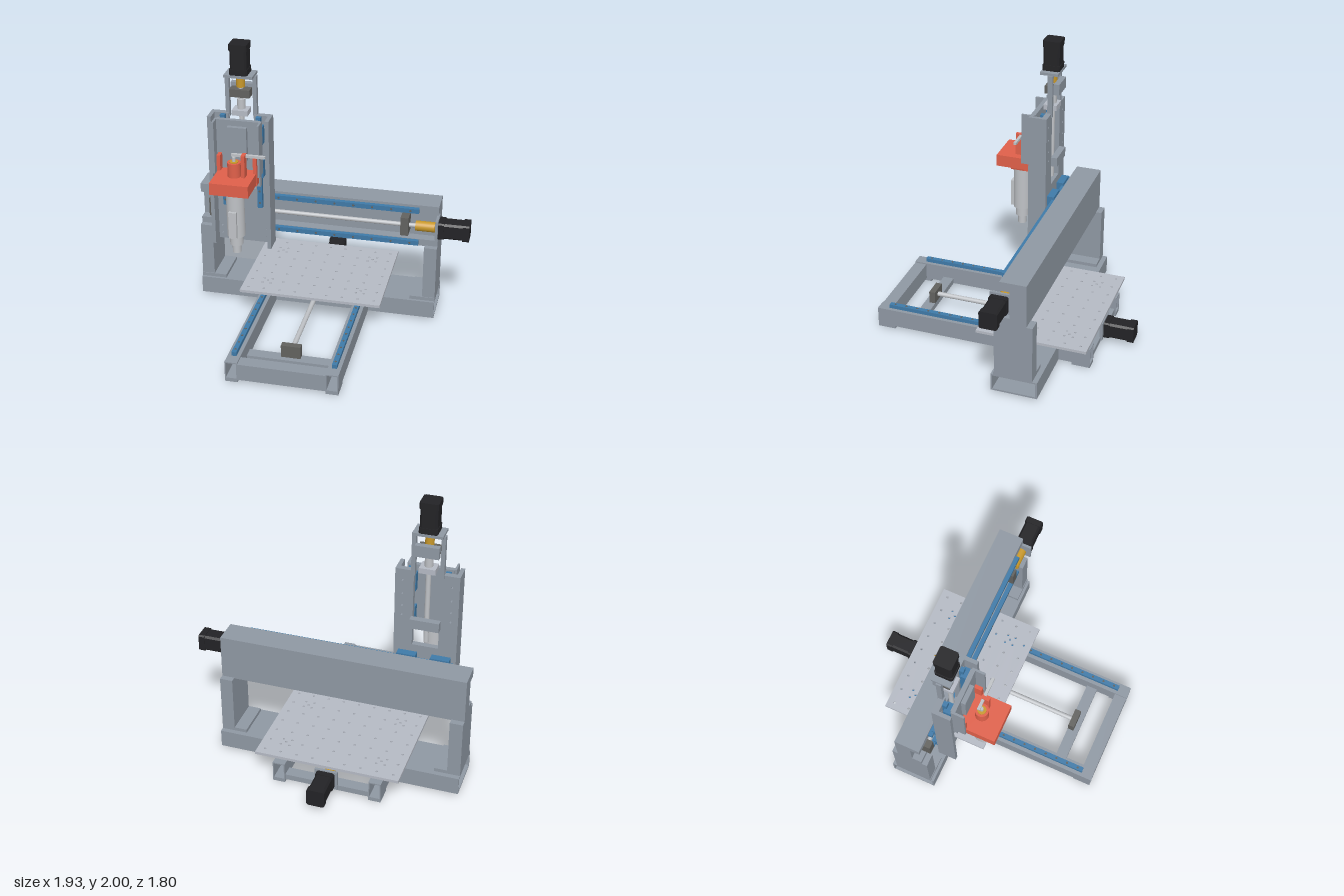
import * as THREE from 'three';

const mat = (color) => new THREE.MeshStandardMaterial({ color, side: THREE.DoubleSide });

export function createModel() {
  const root = new THREE.Group();
  const M = {
    steel: mat(0x8f98a3), plate: mat(0xb5bac4), blue: mat(0x3f7aa8), black: mat(0x232326),
    orange: mat(0xe0604a), brass: mat(0xc8982a), dark: mat(0x62625f), light: mat(0xbfc2c6),
  };
  const add = (name, geo, m) => {
    const mesh = new THREE.Mesh(geo, M[m]);
    mesh.name = name;
    root.add(mesh);
    return mesh;
  };
  // Box given by its limits on each axis
  const box = (name, m, x0, x1, y0, y1, z0, z1) => {
    const b = add(name, new THREE.BoxGeometry(x1 - x0, y1 - y0, Math.abs(z1 - z0)), m);
    b.position.set((x0 + x1) / 2, (y0 + y1) / 2, (z0 + z1) / 2);
    return b;
  };
  // Cylinder along an axis, centred on p
  const rod = (name, m, axis, r, len, p, seg = 24) => {
    const c = add(name, new THREE.CylinderGeometry(r, r, len, seg), m);
    if (axis === 'x') c.rotation.z = Math.PI / 2;
    if (axis === 'z') c.rotation.x = Math.PI / 2;
    c.position.set(...p);
    return c;
  };
  const poly = (pts) => new THREE.Shape(pts.map((p) => new THREE.Vector2(...p)));
  const rect = (x0, x1, y0, y1) => poly([[x0, y0], [x1, y0], [x1, y1], [x0, y1]]);
  const extrude = (shape, depth) =>
    new THREE.ExtrudeGeometry(shape, { depth, bevelEnabled: false, curveSegments: 5 });
  const hole = (shape, x, y, r) => {
    const p = new THREE.Path();
    p.absarc(x, y, r, 0, Math.PI * 2, true);
    shape.holes.push(p);
  };
  // Stepper motor: chamfered body between slightly wider end caps
  const motor = (name, axis, p) => {
    const g = new THREE.Group();
    const oct = (h, c) => poly([[-h, c - h], [c - h, -h], [h - c, -h], [h, c - h],
      [h, h - c], [h - c, h], [c - h, h], [-h, h - c]]);
    for (const [z, d, h, c] of [[0, 0.04, 0.062, 0.01], [0.04, 0.13, 0.058, 0.014], [0.17, 0.045, 0.062, 0.01]]) {
      const part = new THREE.Mesh(extrude(oct(h, c), d), M.black);
      part.position.z = z;
      part.name = name + 'Section';
      g.add(part);
    }
    if (axis === 'x') g.rotation.y = Math.PI / 2;
    if (axis === 'y') g.rotation.x = -Math.PI / 2;
    if (axis === '-z') g.rotation.y = Math.PI;
    g.position.set(...p);
    g.name = name;
    root.add(g);
  };

  // Base: two long hollow tubes with feet, rails and carriages
  for (const x of [-0.452, 0.228]) {
    const s = rect(x - 0.043, x + 0.043, 0.02, 0.15);
    s.holes.push(rect(x - 0.036, x + 0.036, 0.028, 0.142));
    add('baseTube', extrude(s, 1.58), 'steel').position.z = -0.68;
    box('foot', 'steel', x - 0.043, x + 0.043, 0, 0.02, 0.77, 0.9);
    box('foot', 'steel', x - 0.043, x + 0.043, 0, 0.02, -0.68, -0.55);
    box('tableRail', 'blue', x - 0.017, x + 0.017, 0.15, 0.178, -0.62, 0.82);
    for (let i = 0; i < 17; i++) rod('railBolt', 'dark', 'y', 0.008, 0.004, [x, 0.178, 0.78 - i * 0.084], 10);
    for (const z of [-0.06, -0.52]) box('tableCarriage', 'blue', x - 0.036, x + 0.036, 0.163, 0.196, z - 0.065, z + 0.065);
  }
  box('frontCrossMember', 'steel', -0.41, 0.185, 0.02, 0.14, 0.81, 0.9);
  box('bearingCrossMember', 'steel', -0.41, 0.185, 0.02, 0.06, 0.59, 0.67);
  box('rearCrossMember', 'steel', -0.41, 0.185, 0.02, 0.06, -0.67, -0.59);

  // Wide beam under the gantry, open at both ends
  box('baseBeamCentre', 'steel', -0.41, 0.185, 0.02, 0.14, -0.455, -0.13);
  box('baseBeamBottom', 'steel', -0.97, 0.745, 0.018, 0.026, -0.455, -0.13);
  for (const [x0, len] of [[-0.97, 0.475], [0.271, 0.474]]) {
    const s = rect(0.13, 0.455, 0.02, 0.145);
    s.holes.push(rect(0.142, 0.443, 0.03, 0.135));
    const t = add('baseBeamEnd', extrude(s, len), 'steel');
    t.rotation.y = Math.PI / 2;
    t.position.x = x0;
  }

  // Uprights with foot plates
  for (const [x0, x1, f0, f1] of [[-0.97, -0.88, -0.97, -0.79], [0.655, 0.745, 0.565, 0.745]]) {
    box('upright', 'steel', x0, x1, 0.14, 0.565, -0.42, -0.155);
    box('uprightFoot', 'steel', f0, f1, 0.14, 0.17, -0.42, -0.15);
  }

  // Gantry beam with a channel for the screw; profile is (-z, y)
  const beam = add('gantryBeam', extrude(poly([[0.195, 0.56], [0.378, 0.56], [0.378, 0.875], [0.195, 0.875],
    [0.195, 0.81], [0.265, 0.81], [0.265, 0.61], [0.195, 0.61]]), 1.715), 'steel');
  beam.rotation.y = Math.PI / 2;
  beam.position.x = -0.97;
  for (const y of [0.84, 0.59]) {
    box('gantryRail', 'blue', -0.83, 0.61, y - 0.017, y + 0.017, -0.196, -0.165);
    for (let i = 0; i < 11; i++) rod('railBolt', 'dark', 'z', 0.008, 0.004, [-0.79 + i * 0.134, y, -0.165], 10);
    for (const x of [-0.735, -0.505]) box('gantryCarriage', 'blue', x - 0.065, x + 0.065, y - 0.037, y + 0.037, -0.182, -0.13);
  }
  rod('gantryScrew', 'light', 'x', 0.015, 1.45, [-0.125, 0.715, -0.197]);
  rod('gantryCoupling', 'brass', 'x', 0.036, 0.135, [0.655, 0.715, -0.197]);
  for (const x of [0.512, -0.87]) box('gantryBearing', 'dark', x - 0.028, x + 0.028, 0.648, 0.785, -0.265, -0.155);
  box('gantryMotorPlate', 'steel', 0.73, 0.748, 0.64, 0.79, -0.265, -0.13);
  motor('gantryMotor', 'x', [0.75, 0.715, -0.197]);

  // Drilled table
  const table = rect(-0.615, 0.395, -0.105, 0.685);
  for (let i = 0; i < 9; i++) for (let j = 0; j < 7; j++) hole(table, -0.565 + i * 0.1135, -0.05 + j * 0.1135, 0.009);
  for (const x of [-0.452, 0.228]) for (const z of [0.06, 0.52])
    for (const a of [-1, 1]) for (const b of [-1, 1]) hole(table, x + a * 0.03, z + b * 0.03, 0.009);
  const t = add('table', extrude(table, 0.02), 'plate');
  t.rotation.x = -Math.PI / 2;
  t.position.y = 0.196;

  // Table drive
  rod('tableScrew', 'light', 'z', 0.017, 1.2, [-0.11, 0.105, 0.03]);
  box('tableBearing', 'dark', -0.18, -0.045, 0.06, 0.15, 0.59, 0.635);
  box('tableNutMount', 'steel', -0.19, -0.04, 0.14, 0.196, -0.35, -0.23);
  rod('tableNut', 'light', 'z', 0.045, 0.1, [-0.11, 0.115, -0.29]);
  rod('tableCoupling', 'brass', 'z', 0.034, 0.12, [-0.11, 0.105, -0.58]);
  box('tableMotorPlate', 'steel', -0.19, -0.03, 0.03, 0.17, -0.682, -0.662);
  motor('tableMotor', '-z', [-0.11, 0.105, -0.685]);

  // Vertical axis: slotted back plate with side walls
  const X = -0.62;
  const back = poly([[-0.215, 0.515], [0.215, 0.515], [0.215, 1.49], [0.09, 1.49],
    [0.09, 0.93], [-0.09, 0.93], [-0.09, 1.49], [-0.215, 1.49]]);
  for (const s of [-1, 1]) for (const y of [0.56, 0.62, 1.15, 1.22, 1.31, 1.41]) hole(back, s * 0.165, y, 0.008);
  add('columnBackPlate', extrude(back, 0.04), 'steel').position.set(X, 0, -0.13);
  for (const s of [-1, 1]) {
    // limits mirrored about the column centre
    const side = (name, m, a, b, ...r) => box(name, m, X + Math.min(s * a, s * b), X + Math.max(s * a, s * b), ...r);
    side('columnWall', 'steel', 0.188, 0.215, 0.515, 1.49, -0.13, 0);
    side('columnRail', 'blue', 0.108, 0.142, 0.8, 1.485, -0.09, -0.06);
    for (const y of [1.12, 1.37]) side('columnCarriage', 'blue', 0.09, 0.165, y - 0.065, y + 0.065, -0.075, -0.025);
    side('sliderFlange', 'steel', 0.15, 0.165, 1.1, 1.48, -0.02, 0.07);
    side('holderSidePost', 'orange', 0.115, 0.14, 1.03, 1.235, 0, 0.06);
    side('motorPost', 'steel', 0.083, 0.11, 1.46, 1.768, -0.135, -0.1);
    for (let i = 0; i < 4; i++) rod('railBolt', 'dark', 'z', 0.008, 0.004, [X + s * 0.125, 0.84 + i * 0.09, -0.06], 10);
  }
  box('slider', 'steel', X - 0.152, X + 0.152, 1.0, 1.48, -0.027, 0.005);
  box('sliderBlock', 'steel', X - 0.068, X + 0.068, 1.2, 1.44, 0.005, 0.035);
  box('columnRearBracket', 'steel', X - 0.1, X + 0.1, 1.08, 1.148, -0.175, -0.13);
  box('upperRearBracket', 'steel', X - 0.08, X + 0.08, 1.62, 1.7, -0.175, -0.135);
  box('upperBearing', 'dark', X - 0.07, X + 0.07, 1.62, 1.675, -0.14, -0.065);
  rod('columnScrew', 'light', 'y', 0.017, 0.75, [X, 1.33, -0.105]);
  rod('columnNut', 'light', 'y', 0.028, 0.07, [X, 1.565, -0.105]);
  box('columnNutFlange', 'plate', X - 0.055, X + 0.055, 1.49, 1.528, -0.15, -0.055);
  rod('columnCoupling', 'brass', 'y', 0.03, 0.075, [X, 1.725, -0.105]);
  box('columnMotorPlate', 'steel', X - 0.1, X + 0.1, 1.766, 1.785, -0.17, -0.04);
  motor('columnMotor', 'y', [X, 1.785, -0.105]);

  // Spindle and its holder
  const Z = 0.115;
  const holder = poly([[-0.135, 1.04], [-0.095, 1.04], [-0.085, 1.0], [0.085, 1.0], [0.095, 1.04],
    [0.135, 1.04], [0.135, 1.122], [-0.135, 1.122]]);
  box('holderBlock', 'orange', X - 0.135, X + 0.135, 1.036, 1.122, 0, 0.265);
  add('holderCollar', extrude(holder, 0.12), 'orange').position.set(X, 0, 0.055);
  for (const [name, m, r, y0, y1] of [['spindleBody', 'light', 0.063, 0.67, 1.0], ['spindleNeck', 'light', 0.046, 0.6, 0.67],
    ['spindleNose', 'light', 0.03, 0.535, 0.6], ['spindleTop', 'orange', 0.046, 1.12, 1.225],
    ['spindleCap', 'brass', 0.03, 1.22, 1.23], ['spindlePin', 'light', 0.012, 1.22, 1.262]])
    rod(name, m, 'y', r, y1 - y0, [X, (y0 + y1) / 2, Z], 32);
  box('spindlePanel', 'light', X - 0.03, X + 0.025, 0.675, 0.875, 0.16, 0.195);
  box('armPost', 'orange', X + 0.055, X + 0.08, 1.12, 1.285, 0.085, 0.14);
  box('arm', 'light', X - 0.02, X + 0.215, 1.262, 1.28, 0.09, 0.11);
  return root;
}
